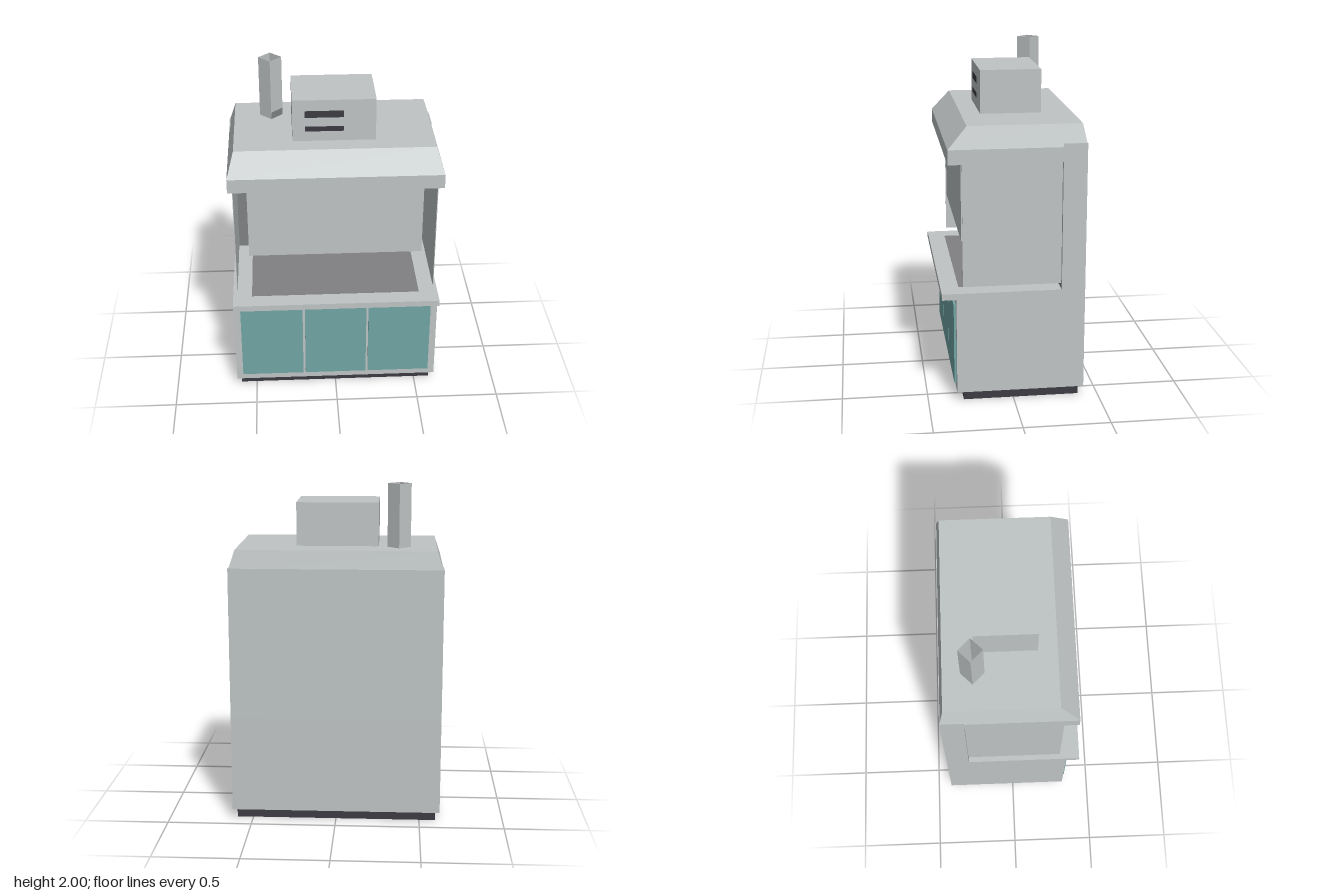
import * as THREE from 'three';

const mat = (name, color, side = THREE.FrontSide) => {
  const m = new THREE.MeshStandardMaterial({ color, side });
  m.name = name;
  return m;
};

export function createModel() {
  const model = new THREE.Group();
  model.name = 'fumeCabinet';
  const steel = mat('light grey', 0xbfc4c5, THREE.DoubleSide);
  const liner = mat('mid grey', 0x808184);
  const teal = mat('teal', 0x71a5a4);
  const black = mat('charcoal', 0x3c3b42);
  const thin = 0.0005;

  const add = (name, geometry, material) => {
    const mesh = new THREE.Mesh(geometry, material);
    mesh.name = name;
    model.add(mesh);
    return mesh;
  };
  // Box given by its limits along each axis
  const box = (name, material, [x0, x1], [y0, y1], [z0, z1]) => {
    const g = new THREE.BoxGeometry(x1 - x0, y1 - y0, z1 - z0);
    g.translate((x0 + x1) / 2, (y0 + y1) / 2, (z0 + z1) / 2);
    return add(name, g, material);
  };

  // Plinth: an open frame below the cabinet floor
  const px = 0.596, pz = [-0.385, 0.292], wall = 0.004;
  box('plinthBack', black, [-px, px], [0, 0.057], [pz[0], pz[0] + wall]);
  box('plinthFront', black, [-px, px], [0, 0.057], [pz[1] - wall, pz[1]]);
  box('plinthRight', black, [-px, wall - px], [0, 0.057], pz);
  box('plinthLeft', black, [px - wall, px], [0, 0.057], pz);
  box('cabinetUnderside', liner, [wall - px, px - wall], [0.056, 0.057], [pz[0] + wall, pz[1] - wall]);

  // Base cabinet, worktop and rear column
  box('cabinet', steel, [-0.622, 0.622], [0.057, 0.63], [-0.414, 0.332]);
  box('worktop', steel, [-0.622, 0.622], [0.63, 0.667], [-0.277, 0.415]);
  box('rearColumn', steel, [-0.622, 0.622], [0.63, 1.525], [-0.414, -0.277]);

  // Doors
  for (const [x0, x1] of [[-0.583, -0.204], [-0.19, 0.187], [0.2, 0.581]]) {
    box('door', teal, [x0, x1], [0.1, 0.584], [0.332, 0.345]);
  }

  // Working chamber
  box('backLiner', liner, [-0.596, 0.596], [0.667, 1.42], [-0.277, thin - 0.277]);
  box('floorLiner', liner, [-0.508, 0.508], [0.667, 0.667 + thin], [-0.276, 0.31]);
  for (const s of [-1, 1]) {
    const x = s * 0.596;
    box('sidePanel', steel, [x - 0.002, x + 0.002], [0.698, 1.42], [-0.277, 0.292]);
  }
  box('sash', steel, [-0.515, 0.515], [0.947, 1.42], [0.284, 0.292]);

  // Hood: straight rim, then a tapered top
  box('hoodRim', steel, [-0.622, 0.622], [1.42, 1.505], [-0.277, 0.373]);
  const taper = new THREE.BoxGeometry(1, 1, 1);
  const p = taper.attributes.position;
  for (let i = 0; i < p.count; i++) {
    const top = p.getY(i) > 0;
    const front = p.getZ(i) > 0;
    p.setXYZ(
      i,
      Math.sign(p.getX(i)) * (top ? 0.582 : 0.622),
      top ? 1.63 : 1.505,
      front ? (top ? 0.262 : 0.373) : (top ? -0.39 : -0.414)
    );
  }
  taper.computeVertexNormals();
  add('hoodTop', taper, steel);

  // Fan housing with a vent: two dark slots and a bar between them
  box('fanHousing', steel, [-0.242, 0.24], [1.63, 1.885], [-0.208, 0.15]);
  for (const [name, material, y] of [
    ['ventSlot', black, [1.69, 1.721]],
    ['ventBar', steel, [1.721, 1.776]],
    ['ventSlot', black, [1.776, 1.818]],
  ]) {
    box(name, material, [-0.17, 0.055], y, [0.15, 0.15 + thin]);
  }

  // Open four-sided flue standing on its corner
  const flue = new THREE.CylinderGeometry(0.068, 0.068, 0.37, 4, 1, true).toNonIndexed();
  flue.computeVertexNormals();
  add('flue', flue, steel).position.set(-0.362, 1.815, -0.219);
  const plate = add('fluePlate', new THREE.BoxGeometry(0.095, 0.042, thin), liner);
  plate.position.set(-0.362 + 0.0342, 1.651, -0.219 + 0.0342);
  plate.rotation.y = Math.PI / 4;

  return model;
}
